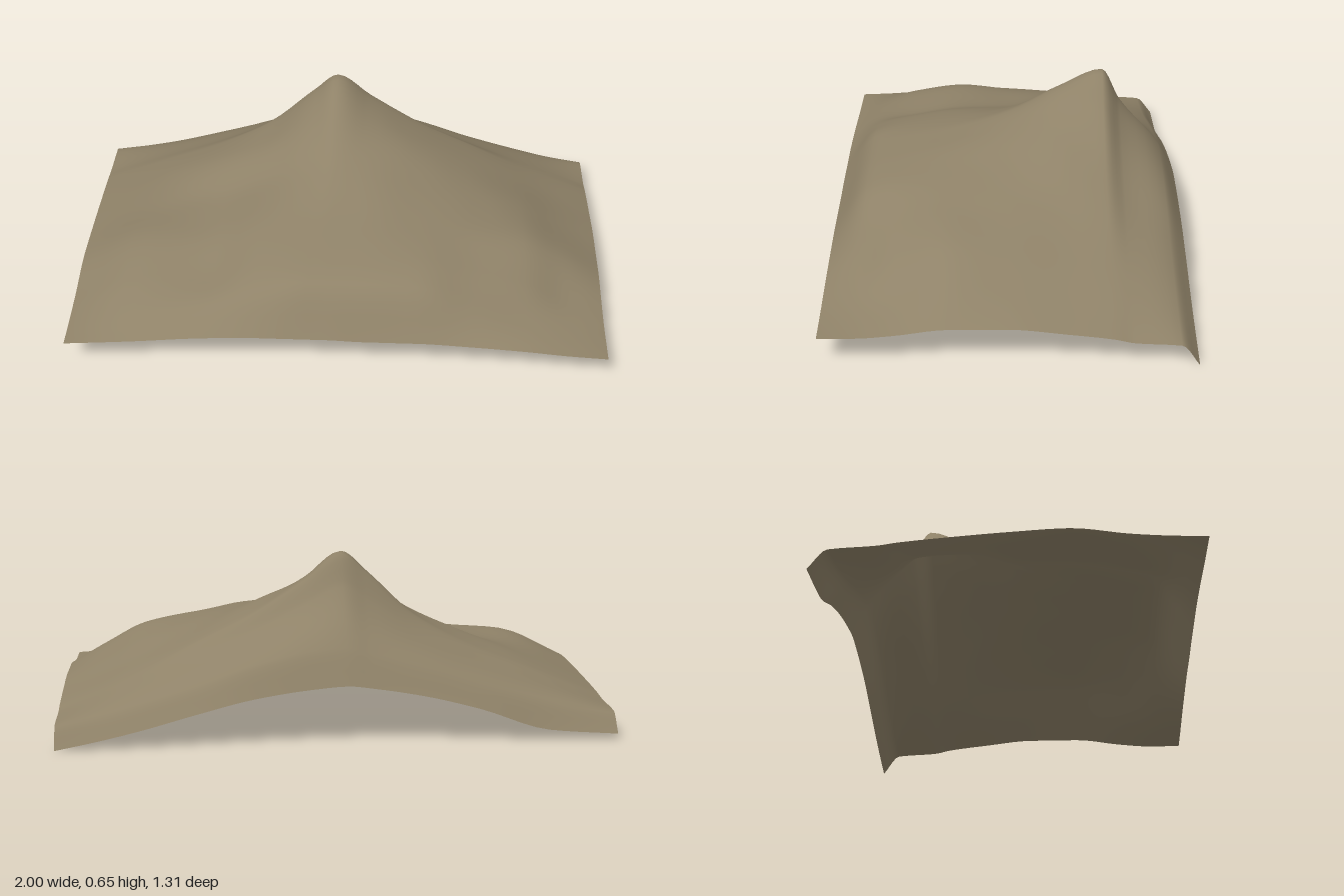
import * as THREE from 'three';

// Survey lines: columns across x, rows from back (-z) to front (+z)
const XS = [-1, -0.75, -0.5, -0.3, -0.12, -0.03, 0.1, 0.3, 0.5, 0.7, 0.85, 1];
const ZS = [-0.655, -0.59, -0.43, -0.36, -0.2, 0, 0.2, 0.4, 0.53, 0.655];
const HEIGHTS = [
  [0.02, 0.04, 0.12, 0.17, 0.2, 0.21, 0.2, 0.17, 0.12, 0.065, 0.03, 0],
  [0.09, 0.14, 0.21, 0.27, 0.315, 0.335, 0.325, 0.28, 0.21, 0.15, 0.11, 0.08],
  [0.1, 0.19, 0.28, 0.37, 0.48, 0.53, 0.47, 0.37, 0.29, 0.21, 0.15, 0.09],
  [0.11, 0.21, 0.31, 0.42, 0.585, 0.655, 0.56, 0.43, 0.33, 0.23, 0.165, 0.105],
  [0.125, 0.23, 0.33, 0.42, 0.54, 0.585, 0.53, 0.44, 0.345, 0.255, 0.185, 0.125],
  [0.14, 0.24, 0.29, 0.37, 0.45, 0.475, 0.46, 0.41, 0.355, 0.29, 0.215, 0.145],
  [0.15, 0.26, 0.285, 0.36, 0.4, 0.41, 0.41, 0.385, 0.35, 0.31, 0.235, 0.145],
  [0.125, 0.23, 0.25, 0.33, 0.365, 0.37, 0.37, 0.36, 0.31, 0.25, 0.17, 0.12],
  [0.115, 0.19, 0.23, 0.29, 0.33, 0.33, 0.33, 0.32, 0.25, 0.18, 0.14, 0.11],
  [0.11, 0.13, 0.155, 0.165, 0.165, 0.165, 0.16, 0.16, 0.15, 0.135, 0.12, 0.11],
];
const STEPS = 5; // subdivisions between survey lines

// Slope at sample i, limited so that the curve never overshoots
function slope(xs, ys, i) {
  const d = (k) => (ys[k + 1] - ys[k]) / (xs[k + 1] - xs[k]);
  if (i === 0) return d(0);
  if (i === xs.length - 1) return d(i - 1);
  const a = d(i - 1), b = d(i);
  return a * b <= 0 ? 0 : (2 * a * b) / (a + b);
}

// Smooth curve through the samples, in STEPS pieces per interval
function refine(xs, ys) {
  const out = [];
  for (let i = 0; i < xs.length - 1; i++) {
    const h = xs[i + 1] - xs[i];
    const m0 = slope(xs, ys, i) * h, m1 = slope(xs, ys, i + 1) * h;
    for (let k = 0; k < STEPS; k++) {
      const t = k / STEPS, t2 = t * t, t3 = t2 * t;
      out.push((2 * t3 - 3 * t2 + 1) * ys[i] + (t3 - 2 * t2 + t) * m0
        + (3 * t2 - 2 * t3) * ys[i + 1] + (t3 - t2) * m1);
    }
  }
  out.push(ys[ys.length - 1]);
  return out;
}

export function createModel() {
  const group = new THREE.Group();
  group.name = 'mountainTerrain';

  const earth = new THREE.MeshStandardMaterial({ color: 0x8f8268 });
  earth.name = 'dry earth';
  earth.side = THREE.DoubleSide;

  // Refine the surveyed rows across x, then every column along z
  const rows = HEIGHTS.map((row) => refine(XS, row));
  const columns = rows[0].map((_, c) => refine(ZS, rows.map((row) => row[c])));
  const xs = refine(XS, XS);
  const zs = refine(ZS, ZS);

  // Open terrain sheet: peak at the back, broad spine falling to the front
  const sheet = new THREE.PlaneGeometry(2, 1.31, xs.length - 1, zs.length - 1);
  sheet.rotateX(-Math.PI / 2);
  const p = sheet.attributes.position;
  for (let i = 0; i < p.count; i++) {
    const c = i % xs.length, r = Math.floor(i / xs.length);
    p.setXYZ(i, xs[c], columns[c][r], zs[r]);
  }
  sheet.computeVertexNormals();

  const terrain = new THREE.Mesh(sheet, earth);
  terrain.name = 'mountainSurface';
  group.add(terrain);
  return group;
}
